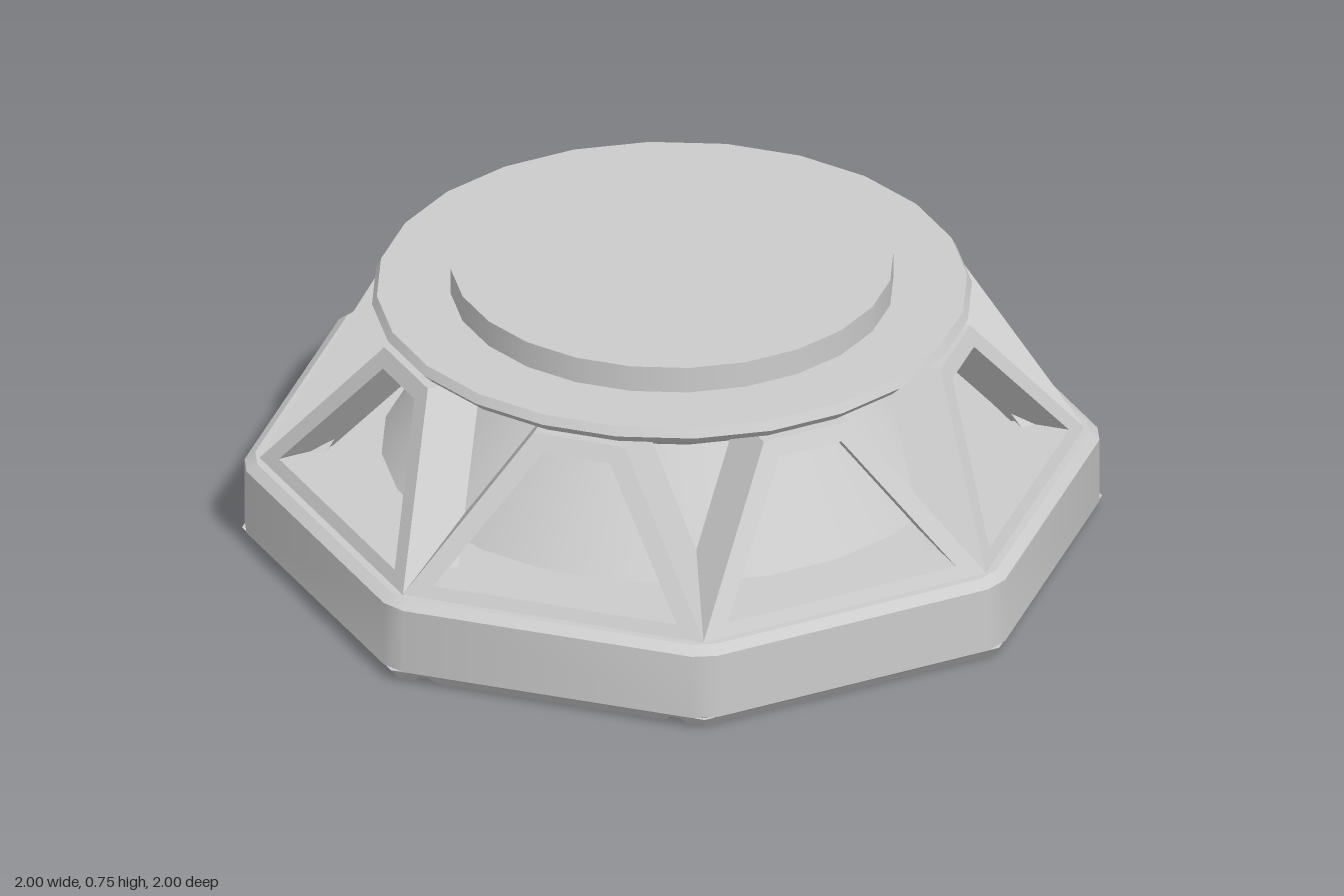
import * as THREE from 'three';
import { ConvexGeometry } from 'three/addons/geometries/ConvexGeometry.js';
import { toCreasedNormals } from 'three/addons/utils/BufferGeometryUtils.js';

const material = new THREE.MeshStandardMaterial({ color: 0xcccccc });

function addMesh(parent, name, geometry) {
  const mesh = new THREE.Mesh(geometry, material);
  mesh.name = name;
  parent.add(mesh);
  return mesh;
}

// Octagon with clipped corners: apothem r, at height y
function octagonRing(r, y) {
  const points = [];
  const up = new THREE.Vector3(0, 1, 0);
  const half = r * Math.tan(Math.PI / 8) - 0.035;
  for (let i = 0; i < 8; i++) {
    for (const x of [-half, half]) {
      points.push(new THREE.Vector3(x, y, r).applyAxisAngle(up, i * Math.PI / 4));
    }
  }
  return points;
}

// Outline of one floor tile, inset all round by i
function tileOutline(col, row, i) {
  const lo = 0.33 + i, hi = 1 - i, mid = 0.33 - i;
  const cut = hi * Math.SQRT2 - hi;
  if (col && row) {
    return [[lo, lo], [hi, lo], [hi, cut], [cut, hi], [lo, hi]].map(([x, z]) => [x * col, z * row]);
  }
  const xs = col ? [lo * col, hi * col] : [-mid, mid];
  const zs = row ? [lo * row, hi * row] : [-mid, mid];
  return [[xs[0], zs[0]], [xs[1], zs[0]], [xs[1], zs[1]], [xs[0], zs[1]]];
}

function tileGeometry(col, row) {
  const at = (inset, y) => tileOutline(col, row, inset).map(([x, z]) => new THREE.Vector3(x, y, z));
  return new ConvexGeometry([...at(0.03, 0), ...at(0.004, 0.033)]);
}

// 24-sided round part with a flat side facing the front
function frustum(rTop, rBottom, y0, y1) {
  return new THREE.CylinderGeometry(rTop, rBottom, y1 - y0, 24)
    .rotateY(Math.PI / 24)
    .translate(0, (y0 + y1) / 2, 0);
}

// Sloping trapezoid frame with a window, cut level from front to back
function frameGeometry() {
  const trapezoid = (path, bottom, top, y0, y1) => {
    path.moveTo(-bottom, y0);
    path.lineTo(bottom, y0);
    path.lineTo(top, y1);
    path.lineTo(-top, y1);
    path.closePath();
    return path;
  };
  const shape = trapezoid(new THREE.Shape(), 0.396, 0.12, 0, 0.4);
  shape.holes.push(trapezoid(new THREE.Path(), 0.32, 0.087, 0.03, 0.36));
  const lean = new THREE.Matrix4().makeShear(0, 0, 0, -0.525, 0, 0);
  return new THREE.ExtrudeGeometry(shape, { depth: 0.15, bevelEnabled: false })
    .applyMatrix4(lean)
    .translate(0, 0.23, 0.805);
}

export function createModel() {
  const model = new THREE.Group();
  model.name = 'octagonalPlatform';

  // Octagonal base with chamfered top and bottom edges
  const base = new ConvexGeometry([
    ...octagonRing(0.982, 0.018), ...octagonRing(1, 0.035),
    ...octagonRing(1, 0.21), ...octagonRing(0.975, 0.23),
  ]);
  addMesh(model, 'base', toCreasedNormals(base, 0.45));

  // Nine floor tiles divided by V-shaped grooves
  const tiles = new THREE.Group();
  tiles.name = 'floorTiles';
  for (const col of [-1, 0, 1]) {
    for (const row of [-1, 0, 1]) addMesh(tiles, 'floorTile', tileGeometry(col, row));
  }
  model.add(tiles);

  // Central cone, flared collar, bevelled rim and raised disc
  addMesh(model, 'centralCone', frustum(0.515, 0.735, 0.22, 0.525));
  addMesh(model, 'collar', frustum(0.725, 0.535, 0.52, 0.632));
  addMesh(model, 'rimUnderside', frustum(0.752, 0.725, 0.63, 0.657));
  addMesh(model, 'rim', frustum(0.74, 0.752, 0.657, 0.68));
  addMesh(model, 'topDisc', frustum(0.555, 0.555, 0.67, 0.75));

  // Eight sloping window frames around the cone
  const frames = new THREE.Group();
  frames.name = 'windowFrames';
  const frame = frameGeometry();
  for (let i = 0; i < 8; i++) {
    addMesh(frames, 'windowFrame', frame).rotation.y = i * Math.PI / 4;
  }
  model.add(frames);

  return model;
}
